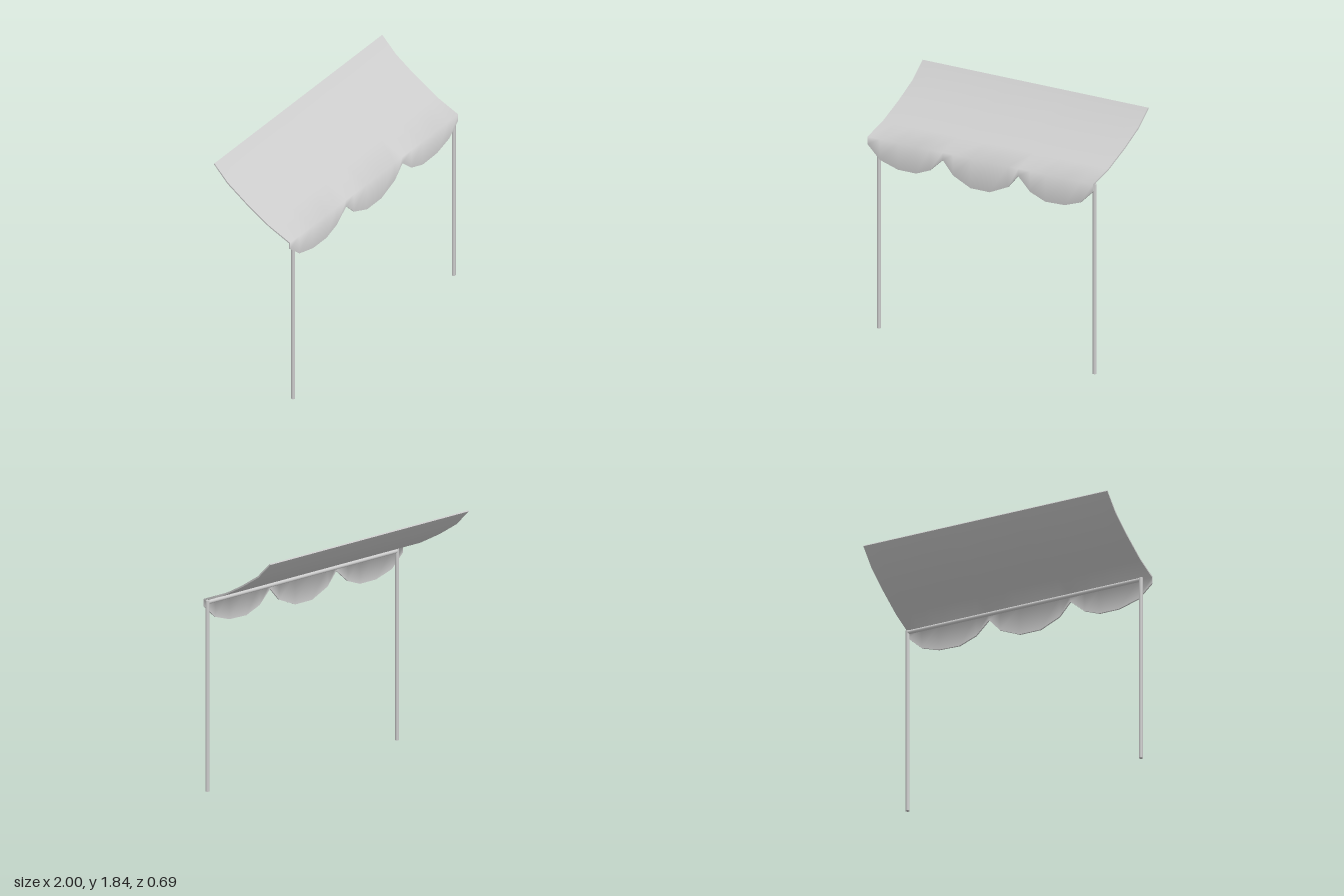
import * as THREE from 'three';
import { mergeGeometries } from 'three/addons/utils/BufferGeometryUtils.js';

const mat = new THREE.MeshStandardMaterial({ color: 0xcccccc });

// Surface through equally long rows of [x, y, z] points
function sheet(rows, smooth) {
  const n = rows[0].length, index = [];
  for (let r = 0; r < rows.length - 1; r++) {
    for (let c = 0; c < n - 1; c++) {
      const a = r * n + c, b = a + 1, d = a + n, e = d + 1;
      index.push(a, d, b, b, d, e);
    }
  }
  let g = new THREE.BufferGeometry();
  g.setAttribute('position', new THREE.Float32BufferAttribute(rows.flat(2), 3));
  g.setIndex(index);
  if (smooth) g.computeVertexNormals();
  g = g.toNonIndexed();
  if (!smooth) g.computeVertexNormals();
  return g;
}

// Cloth: sagging roof that folds down into a scalloped valance
function createCloth() {
  // roof profile [z, y] from the back edge to the front fold
  const outer = [[-0.34, 1.84], [-0.215, 1.721], [-0.045, 1.613], [0.155, 1.505], [0.346, 1.435]];
  const inner = [[-0.345, 1.832], [-0.221, 1.711], [-0.05, 1.603], [0.151, 1.495], [0.335, 1.427]];
  // scalloped hem [x, y]
  const hem = [
    [-1, 1.38], [-0.89, 1.28], [-0.73, 1.235], [-0.57, 1.235], [-0.45, 1.28], [-0.335, 1.38],
    [-0.245, 1.28], [-0.09, 1.212], [0.08, 1.212], [0.24, 1.28], [0.33, 1.38],
    [0.435, 1.28], [0.57, 1.23], [0.74, 1.235], [0.88, 1.28], [0.99, 1.38]];
  const skin = (profile, hemZ) => [
    ...profile.map(([z, y]) => hem.map(([x]) => [x, y, z])),
    hem.map(([x, y]) => [x, y, hemZ])];
  const top = skin(outer, 0.347), under = skin(inner, 0.335);
  const column = (rows, i) => rows.map(row => row.at(i));
  const flipped = under.map(row => [...row].reverse());
  return mergeGeometries([
    sheet(top, true),
    sheet(flipped, true),
    sheet([top.at(-1), under.at(-1)], false),           // hem edge
    sheet([under[0], top[0]], false),                   // back edge
    sheet([column(top, 0), column(under, 0)], false),   // right edge
    sheet([column(under, -1), column(top, -1)], false), // left edge
  ]);
}

export function createModel() {
  const group = new THREE.Group();
  const add = (name, geometry, x = 0, y = 0, z = 0) => {
    const mesh = new THREE.Mesh(geometry, mat);
    mesh.name = name;
    mesh.position.set(x, y, z);
    group.add(mesh);
  };

  add('awningCloth', createCloth());

  // Posts and the rail joining their tops
  const radius = 0.0145, postTop = 1.43, postZ = 0.313, rightX = -0.922, leftX = 0.982;
  const post = new THREE.CylinderGeometry(radius, radius, postTop, 16);
  add('rightPost', post, rightX, postTop / 2, postZ);
  add('leftPost', post, leftX, postTop / 2, postZ);
  const rail = new THREE.CylinderGeometry(radius, radius, leftX - rightX, 16).rotateZ(Math.PI / 2);
  add('frontRail', rail, (leftX + rightX) / 2, postTop - radius, postZ);

  return group;
}
